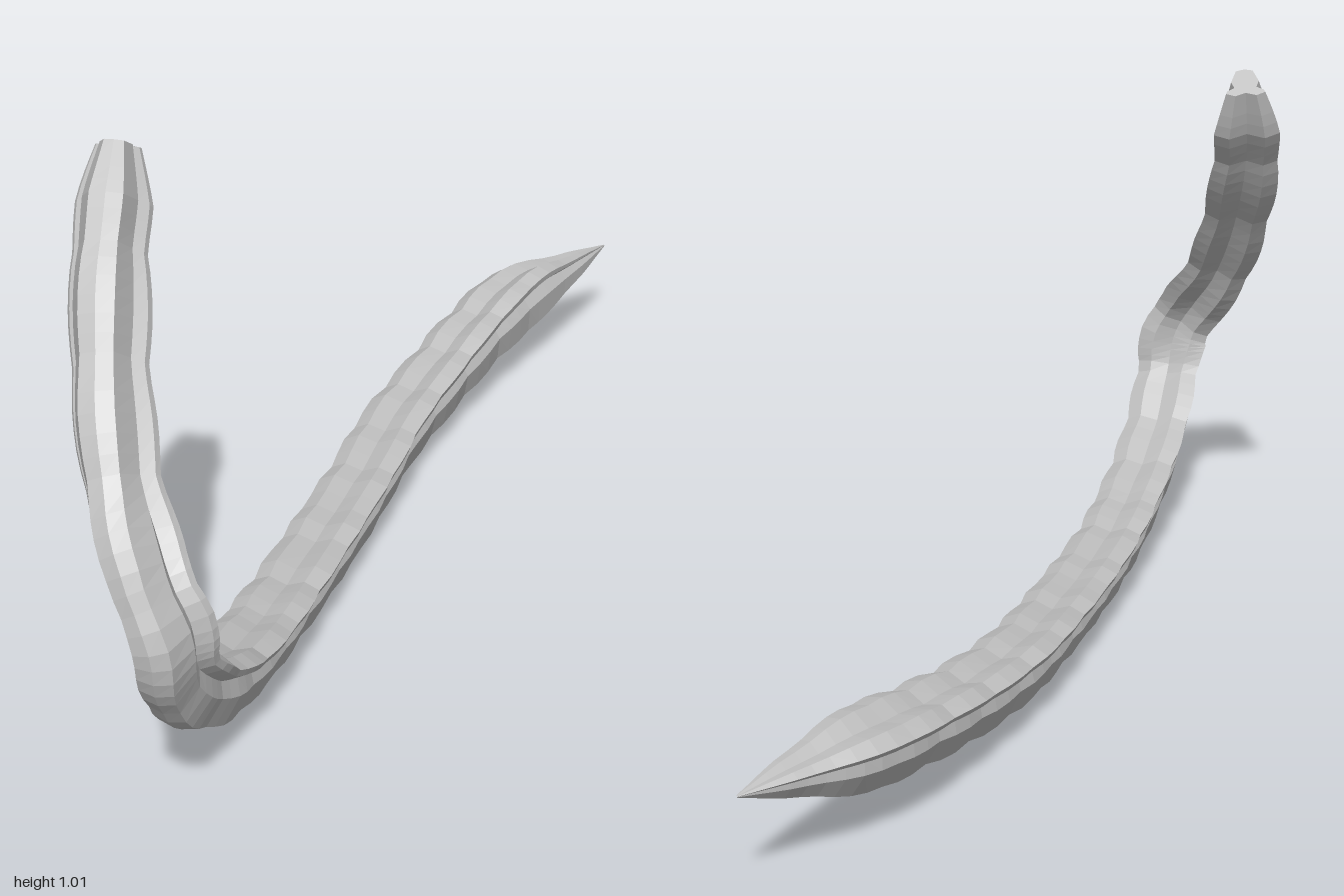
import * as THREE from 'three';

// Centre line from the pointed tip to the blunt end: x, y, z, section scale
const PATH = [
  [-0.21, 0.178, -1.0, 0.03], [-0.222, 0.165, -0.87, 0.55], [-0.236, 0.152, -0.73, 1.02],
  [-0.225, 0.132, -0.57, 1.0], [-0.195, 0.106, -0.38, 0.98], [-0.15, 0.088, -0.18, 0.98],
  [-0.088, 0.073, 0.0, 0.98], [-0.02, 0.067, 0.2, 0.98], [0.05, 0.071, 0.4, 0.98],
  [0.11, 0.089, 0.56, 0.98], [0.165, 0.127, 0.71, 1.0], [0.207, 0.195, 0.83, 1.0],
  [0.238, 0.285, 0.91, 1.0], [0.242, 0.365, 0.93, 1.05], [0.192, 0.455, 0.925, 1.0],
  [0.125, 0.54, 0.89, 1.0], [0.062, 0.64, 0.84, 1.0], [0.007, 0.735, 0.78, 1.0],
  [-0.04, 0.83, 0.72, 1.0], [-0.073, 0.915, 0.665, 0.93], [-0.095, 0.99, 0.622, 0.58],
];
// Direction of the open channel at stations along the path (u, x, y, z)
const UPS = [
  [0, -0.28, 1, 0], [0.3, -0.05, 1, 0], [0.5, -0.05, 0.9, -0.3], [0.57, -0.2, 0.5, -0.7],
  [0.65, -0.4, 0, -0.9], [0.75, -0.55, 0, -0.84], [1, -0.55, 0, -0.84],
];
// Three-ridged cross-section, right half from the keel up to the channel
const HALF = [
  [0.028, -0.056], [0.046, -0.005], [0.036, 0.023], [0.06, 0.036], [0.065, 0.048], [0.035, 0.061],
];
const PROFILE = [[0, -0.063], ...HALF, [0, 0.048], ...HALF.map(([x, y]) => [-x, y]).reverse()];

function upAt(u) {
  let i = 0;
  while (i < UPS.length - 2 && u > UPS[i + 1][0]) i++;
  const a = UPS[i], b = UPS[i + 1];
  const k = THREE.MathUtils.smoothstep(u, a[0], b[0]);
  return new THREE.Vector3(...a.slice(1)).lerp(new THREE.Vector3(...b.slice(1)), k);
}

function stalkGeometry() {
  const curve = new THREE.CatmullRomCurve3(PATH.map(p => new THREE.Vector3(p[0], p[1], p[2])));
  const rings = (PATH.length - 1) * 4, n = PROFILE.length;
  const pos = [], index = [];
  let phase = 0, last = curve.getPoint(0);
  for (let i = 0; i <= rings; i++) {
    const u = i / rings;
    const c = curve.getPoint(u), t = curve.getTangent(u);
    phase += c.distanceTo(last) / (u < 0.65 ? 0.145 : 0.19);
    last = c;
    const up = upAt(u);
    up.addScaledVector(t, -up.dot(t)).normalize();
    const side = new THREE.Vector3().crossVectors(up, t);
    const f = u * (PATH.length - 1), k = Math.min(Math.floor(f), PATH.length - 2);
    const size = THREE.MathUtils.lerp(PATH[k][3], PATH[k + 1][3], f - k);
    // rounded swellings along the length
    const s = size * (0.94 + 0.11 * Math.abs(Math.sin(phase * Math.PI)));
    for (const [x, y] of PROFILE) {
      const p = c.clone().addScaledVector(side, x * s).addScaledVector(up, y * s);
      pos.push(p.x, p.y, p.z);
    }
  }
  for (let i = 0; i < rings; i++) {
    for (let j = 0; j < n; j++) {
      const a = i * n + j, b = i * n + (j + 1) % n;
      index.push(a, b, b + n, a, b + n, a + n);
    }
  }
  // blunt end cap
  const end = curve.getPoint(1), centre = pos.length / 3;
  pos.push(end.x, end.y, end.z);
  for (let j = 0; j < n; j++) index.push(centre, rings * n + j, rings * n + (j + 1) % n);

  const g = new THREE.BufferGeometry();
  g.setAttribute('position', new THREE.Float32BufferAttribute(pos, 3));
  g.setIndex(index);
  const flat = g.toNonIndexed();
  flat.computeVertexNormals();
  return flat;
}

export function createModel() {
  const group = new THREE.Group();
  group.name = 'bentStalk';
  const grey = new THREE.MeshStandardMaterial({ color: 0xc0c0c0 });
  grey.name = 'light grey';
  const stalk = new THREE.Mesh(stalkGeometry(), grey);
  stalk.name = 'stalk';
  group.add(stalk);
  return group;
}
